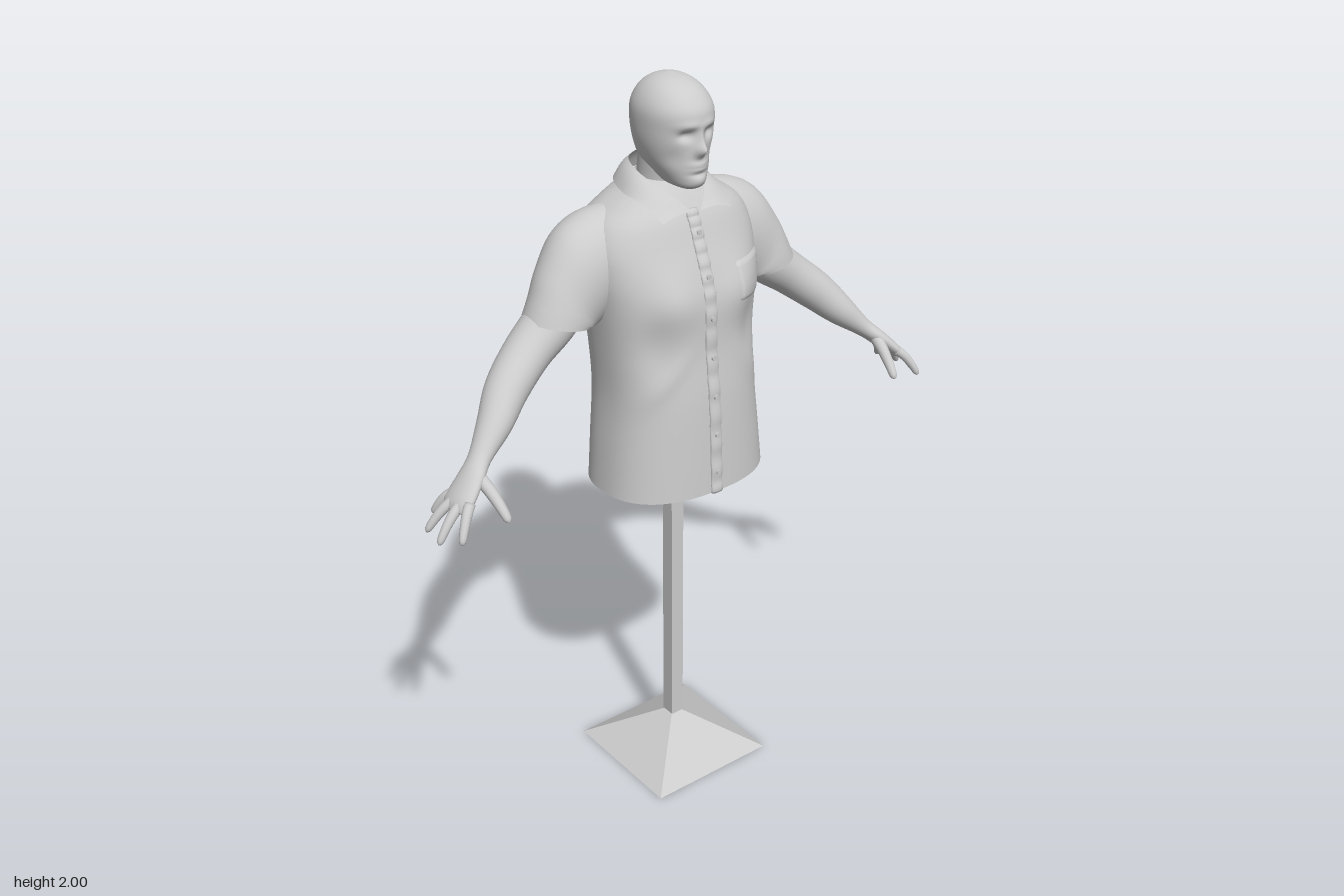
import * as THREE from 'three';
import { toCreasedNormals } from 'three/addons/utils/BufferGeometryUtils.js';

const grey = new THREE.MeshStandardMaterial({ color: 0xcccccc });
const greyFlat = new THREE.MeshStandardMaterial({ color: 0xcccccc, flatShading: true });
const greyThin = new THREE.MeshStandardMaterial({ color: 0xcccccc, side: THREE.DoubleSide });
const V = (x, y, z) => new THREE.Vector3(x, y, z);
const bell = (x, y, cx, cy, sx, sy) => Math.exp(-(((x - cx) / sx) ** 2) - ((y - cy) / sy) ** 2);

// Catmull-Rom through rows of numbers, n steps between neighbours
function smoothRows(rows, n) {
  const out = [], last = rows.length - 1;
  for (let i = 0; i < last; i++) {
    const [p, a, b, q] = [rows[Math.max(i - 1, 0)], rows[i], rows[i + 1], rows[Math.min(i + 2, last)]];
    for (let k = 0; k < n; k++) {
      const t = k / n;
      out.push(a.map((v, c) => v + 0.5 * t * (b[c] - p[c] + t * (2 * p[c] - 5 * v + 4 * b[c] - q[c]
        + t * (3 * (v - b[c]) + q[c] - p[c])))));
    }
  }
  out.push(rows[last]);
  return out;
}

// Skin over closed rings, capped at the ends; side -1 mirrors it in x
function loft(rings, side = 1, caps = [true, true]) {
  if (side < 0) rings = rings.map(r => r.map(p => V(-p.x, p.y, p.z)).reverse());
  const m = rings[0].length, n = rings.length, pos = [], idx = [];
  rings.flat().forEach(p => pos.push(p.x, p.y, p.z));
  for (let i = 0; i < n - 1; i++) for (let j = 0; j < m; j++) {
    const a = i * m + j, b = i * m + (j + 1) % m;
    idx.push(a, a + m, b, b, a + m, b + m);
  }
  [0, n - 1].forEach((i, e) => {
    if (!caps[e]) return;
    const c = rings[i].reduce((s, p) => s.add(p), V(0, 0, 0)).divideScalar(m);
    const id = pos.length / 3;
    pos.push(c.x, c.y, c.z);
    for (let j = 0; j < m; j++) {
      const a = i * m + j, b = i * m + (j + 1) % m;
      if (e) idx.push(a, id, b); else idx.push(a, b, id);
    }
  });
  const g = new THREE.BufferGeometry();
  g.setAttribute('position', new THREE.Float32BufferAttribute(pos, 3));
  g.setIndex(idx);
  g.computeVertexNormals();
  return g;
}

// Horizontal rounded section: y, half width, back z, front z
function section([y, hw, zb, zf], e, bump, m = 64) {
  return Array.from({ length: m }, (_, j) => {
    const t = j / m * Math.PI * 2, c = Math.cos(t), s = Math.sin(t);
    const x = hw * Math.sign(c) * Math.abs(c) ** (2 / e);
    const z = (zf + zb) / 2 + (zf - zb) / 2 * Math.sign(s) * Math.abs(s) ** (2 / e);
    return V(x, y, z + bump(x, y, s));
  });
}

// Sweep with rows of x, y, z, half size across, half size towards z
function sweep(rows, side = 1, steps = 4, m = 18) {
  const r = smoothRows(rows, steps), at = i => V(...r[Math.min(Math.max(i, 0), r.length - 1)]);
  return loft(r.map((row, i) => {
    const T = at(i + 1).sub(at(i - 1)).normalize();
    const B = V(0, 0, 1).addScaledVector(T, -T.z).normalize(), A = T.clone().cross(B);
    return Array.from({ length: m }, (_, j) => {
      const t = j / m * Math.PI * 2;
      return at(i).addScaledVector(A, row[3] * Math.cos(t)).addScaledVector(B, row[4] * Math.sin(t));
    });
  }), side);
}

// Shirt body profile with chest, folds and spine
const E = 2.4;
const torso = smoothRows([[0.94, 0.24, -0.172, 0.192], [1.05, 0.229, -0.174, 0.187], [1.2, 0.215, -0.176, 0.178],
  [1.33, 0.219, -0.18, 0.163], [1.45, 0.23, -0.192, 0.157], [1.53, 0.24, -0.196, 0.138], [1.6, 0.24, -0.192, 0.112],
  [1.655, 0.215, -0.178, 0.09], [1.69, 0.17, -0.16, 0.07], [1.72, 0.12, -0.142, 0.05], [1.745, 0.085, -0.115, 0.03]], 6);
function folds(x, y, s) {
  const ax = Math.abs(x);
  if (s < 0) return s * (-0.012 * bell(x, y, 0, 1.5, 0.03, 0.2) + 0.006 * bell(ax, y, 0.11, 1.55, 0.07, 0.1)
    - 0.012 * bell(x, y, 0, 1.25, 0.12, 0.12));
  return s * (0.016 * bell(ax, y, 0.11, 1.47, 0.07, 0.07) - 0.014 * bell(ax, y, 0.15, 1.36, 0.04, 0.08)
    + 0.008 * bell(ax, y + ax, 0.14, 1.4, 0.06, 0.03));
}
function frontZ(x, y) {
  const i = Math.max(1, torso.findIndex(r => r[0] >= y)), a = torso[i - 1], b = torso[i];
  const t = (y - a[0]) / (b[0] - a[0]), [, hw, zb, zf] = a.map((v, c) => v + (b[c] - v) * t);
  const s = Math.max(0, 1 - Math.abs(x / hw) ** E) ** (1 / E);
  return (zf + zb) / 2 + (zf - zb) / 2 * s + folds(x, y, s);
}

export function createModel() {
  const model = new THREE.Group();
  const add = (name, geo, mat = grey) => {
    const mesh = new THREE.Mesh(geo, mat);
    mesh.name = name;
    model.add(mesh);
    return mesh;
  };

  // Stand
  const base = new THREE.CylinderGeometry(0.028, 0.269, 0.11, 4);
  base.rotateY(Math.PI / 4).translate(0, 0.055, 0);
  add('standBase', base, greyFlat);
  add('standPole', new THREE.BoxGeometry(0.04, 0.92, 0.04).translate(0.003, 0.56, -0.003), greyFlat);

  // Shirt body with a recessed underside
  const inner = y => section([y, 0.228, -0.16, 0.178], E, () => 0);
  const body = loft([inner(1.0), inner(0.94), ...torso.map(r => section(r, E, folds))]);
  add('shirtBody', toCreasedNormals(body, 0.8));

  // Button strip and buttons
  const strip = torso.filter(r => r[0] < 1.68).map((r, i) =>
    [-0.003, r[0], frontZ(0, r[0]) + 0.002 * Math.sin(i * 2), 0.019, 0.007]);
  add('buttonStrip', sweep(strip, 1, 2, 12));
  for (let i = 0; i < 7; i++) {
    const y = 1.0 + i * 0.105;
    add('button', new THREE.CylinderGeometry(0.007, 0.007, 0.008, 12).rotateX(Math.PI / 2)
      .translate(-0.003, y, frontZ(0, y) + 0.008));
  }

  // Chest pocket moulded to the shirt
  const pocket = new THREE.PlaneGeometry(0.12, 0.1, 14, 12), pp = pocket.attributes.position;
  for (let i = 0; i < pp.count; i++) {
    const u = pp.getX(i), v = pp.getY(i), edge = Math.abs(u) > 0.059 || Math.abs(v) > 0.049;
    const x = 0.15 + u, y = 1.49 + v - (v < 0 ? 0.01 * (1 - Math.abs(u) / 0.06) : 0);
    pp.setXYZ(i, x, y, frontZ(x, y) + (edge ? -0.003 : 0.006));
  }
  pocket.computeVertexNormals();
  add('chestPocket', pocket, greyThin);

  // Folded collar between an upper and a lower edge
  const edge = pts => {
    const back = pts.slice(0, -1).reverse().map(([x, y, z]) => [-x, y, z]);
    return new THREE.CatmullRomCurve3([...pts, ...back].map(p => V(...p)));
  };
  const upper = edge([[0.012, 1.68, 0.098], [0.05, 1.72, 0.06], [0.085, 1.762, -0.02], [0.068, 1.782, -0.09], [0, 1.788, -0.115]]);
  const lower = edge([[0.105, 1.67, 0.1], [0.124, 1.708, 0.035], [0.126, 1.718, -0.04], [0.09, 1.73, -0.125], [0, 1.73, -0.152]]);
  const collar = new THREE.PlaneGeometry(1, 1, 60, 6), cp = collar.attributes.position;
  for (let i = 0; i < cp.count; i++) {
    const t = cp.getX(i) + 0.5, s = 0.5 - cp.getY(i);
    const p = upper.getPoint(t).lerp(lower.getPoint(t), s);
    p.y += 0.008 * Math.sin(s * Math.PI);
    cp.setXYZ(i, p.x, p.y, p.z);
  }
  collar.computeVertexNormals();
  add('collar', collar, greyThin);

  // Neck
  add('neck', sweep([[0, 1.64, -0.035, 0.075, 0.07], [0, 1.74, -0.035, 0.068, 0.072], [0, 1.84, -0.02, 0.068, 0.075]], 1, 4, 32));

  // Head with brow, eye sockets, nose, lips and chin
  const face = (x, y, s) => {
    if (s <= 0) return 0;
    const ax = Math.abs(x);
    return s * (0.024 * bell(x, y, 0, 1.836, 0.013, 0.016) + 0.01 * bell(x, y, 0, 1.862, 0.01, 0.025)
      + 0.006 * bell(ax, y, 0.03, 1.896, 0.03, 0.01) - 0.015 * bell(ax, y, 0.034, 1.873, 0.018, 0.012)
      + 0.007 * bell(x, y, 0, 1.8, 0.025, 0.006) + 0.006 * bell(x, y, 0, 1.787, 0.022, 0.006)
      - 0.005 * bell(x, y, 0, 1.776, 0.025, 0.005) + 0.004 * bell(x, y, 0, 1.758, 0.022, 0.012)
      - 0.008 * bell(ax, y, 0.06, 1.815, 0.02, 0.025));
  };
  const head = smoothRows([[1.736, 0.025, 0.03, 0.09], [1.745, 0.042, -0.03, 0.104], [1.765, 0.057, -0.08, 0.108],
    [1.8, 0.075, -0.103, 0.106], [1.84, 0.087, -0.113, 0.106], [1.88, 0.092, -0.119, 0.108], [1.92, 0.092, -0.118, 0.109],
    [1.95, 0.082, -0.106, 0.093], [1.975, 0.063, -0.085, 0.066], [1.992, 0.037, -0.055, 0.03], [2.0, 0.003, -0.018, -0.012]], 7);
  add('head', loft(head.map(r => section(r, 2.1, face, 80))));

  // Sleeve rows: top x, y, bottom x, y, middle z, half depth
  const sleeve = smoothRows([[0.12, 1.695, 0.15, 1.43, -0.06, 0.09], [0.22, 1.683, 0.19, 1.405, -0.065, 0.105],
    [0.3, 1.645, 0.21, 1.395, -0.06, 0.1], [0.36, 1.565, 0.225, 1.397, -0.05, 0.09],
    [0.392, 1.5, 0.235, 1.403, -0.042, 0.086], [0.415, 1.45, 0.24, 1.412, -0.04, 0.085]], 6);
  const rim = [[0.4, 1.447, 0.253, 1.415, -0.04, 0.073], [0.385, 1.49, 0.25, 1.44, -0.042, 0.073]];
  const sleeveRings = [...sleeve, ...rim].map(([tx, ty, bx, by, z, d]) => Array.from({ length: 40 }, (_, j) => {
    const t = j / 40 * Math.PI * 2, c = Math.cos(t) / 2;
    return V((tx + bx) / 2 + (bx - tx) * c, (ty + by) / 2 + (by - ty) * c, z + d * Math.sin(t));
  }));

  // Arm running into the palm, then fingers from knuckle to tip
  const arm = [[0.27, 1.51, -0.05, 0.06, 0.06], [0.335, 1.44, -0.045, 0.066, 0.066], [0.42, 1.375, -0.035, 0.059, 0.062],
    [0.5, 1.31, -0.008, 0.054, 0.056], [0.56, 1.25, 0.027, 0.043, 0.046], [0.625, 1.19, 0.058, 0.026, 0.032],
    [0.665, 1.155, 0.077, 0.022, 0.042], [0.708, 1.113, 0.09, 0.019, 0.05], [0.725, 1.095, 0.094, 0.01, 0.035]];
  const fingers = [[[0.7, 1.12, 0.128], [0.75, 1.045, 0.168]], [[0.712, 1.113, 0.104], [0.784, 1.034, 0.118]],
    [[0.712, 1.113, 0.076], [0.78, 1.038, 0.053]], [[0.7, 1.118, 0.052], [0.738, 1.058, 0.014]],
    [[0.65, 1.16, 0.09], [0.632, 1.075, 0.192]]];
  for (const side of [1, -1]) {
    const s = side > 0 ? 'left' : 'right';
    add(s + 'Sleeve', toCreasedNormals(loft(sleeveRings, side, [true, false]), 0.9), greyThin);
    add(s + 'Arm', sweep(arm, side, 6, 28));
    fingers.forEach(([a, b], i) => {
      const r = i === 4 ? 0.016 : 0.013;
      const rows = [0, 0.35, 0.7, 0.93, 1].map((t, k) => {
        const p = V(...a).lerp(V(...b), t), w = r * [1.1, 1, 0.85, 0.65, 0.1][k];
        return [p.x, p.y + 0.01 * Math.sin(t * Math.PI), p.z, w, w];
      });
      add(s + (i === 4 ? 'Thumb' : 'Finger'), sweep(rows, side, 3, 12));
    });
  }
  return model;
}
